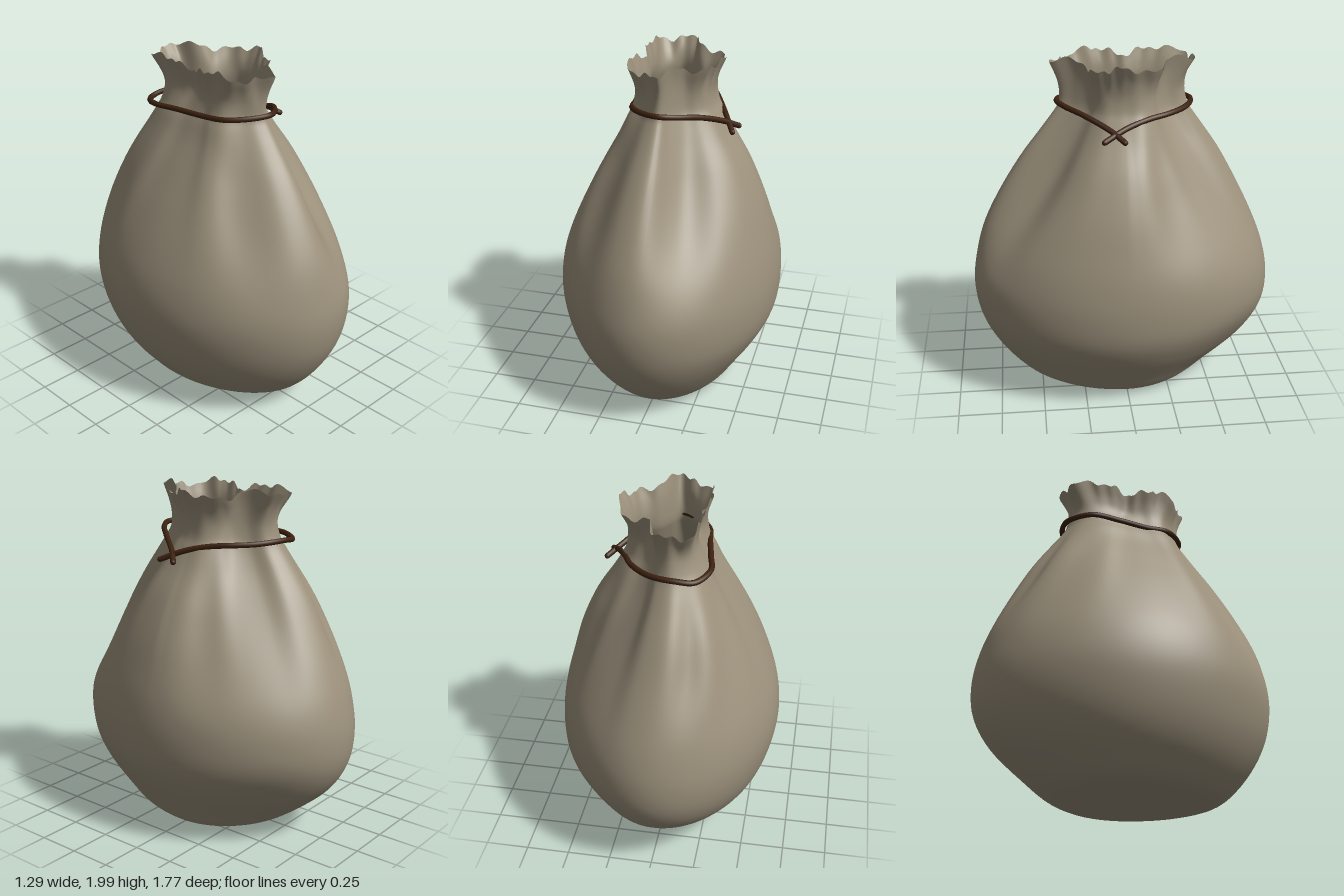
import * as THREE from 'three';

const V = (x, y, z) => new THREE.Vector3(x, y, z);
const { lerp, smoothstep } = THREE.MathUtils;

// Gathered outline of the neck, one (x, z) point every 15 degrees from +x towards +z
const NECK = [
  [.27, 0], [.26, .06], [.24, .12], [.19, .17], [.12, .21], [.06, .29],
  [.01, .37], [-.05, .35], [-.10, .29], [-.16, .22], [-.175, .15], [-.17, .08],
  [-.17, .01], [-.17, -.07], [-.18, -.15], [-.175, -.24], [-.15, -.32], [-.10, -.38],
  [-.04, -.41], [.03, -.37], [.07, -.28], [.13, -.21], [.21, -.17], [.27, -.09],
];

// Reach of the cloth at each height: y, -x, +x, -z, +z
const ROWS = [
  [.03, 0, 0, 0, 0], [.02, .14, .14, .17, .2], [.02, .27, .28, .32, .38],
  [.055, .39, .37, .45, .56], [.15, .47, .445, .60, .68], [.30, .565, .55, .77, .79],
  [.46, .622, .625, .86, .86], [.64, .65, .645, .88, .885], [.82, .632, .63, .85, .862],
  [1.0, .575, .59, .785, .81], [1.2, .485, .53, .69, .71], [1.4, .375, .44, .58, .585],
  [1.56, .28, .335, .47, .465], [1.66, .23, .275, .40, .39], [1.72, .20, .245, .375, .355],
  [1.80, .185, .235, .365, .35], [1.88, .195, .25, .385, .36], [1.96, .22, .285, .43, .385],
];

// Folds pressed into the cloth: angle, width, depth, then heights where they start, fill, fade and end
const FOLDS = [
  [1.15, .25, .10, .65, 1.3, 1.35, 1.72], [2.28, .25, .10, .7, 1.3, 1.4, 1.72],
  [3.93, .25, .05, .75, 1.3, 1.4, 1.72], [4.45, .15, .06, .9, 1.3, 1.4, 1.72],
  [5.88, .25, .11, .75, 1.3, 1.4, 1.72],
  [5.4, .45, .04, .03, .15, .3, .6], // slanted lower back
  [3.5, .55, .15, 1.7, 1.85, 2.1, 2.2], // rim leaning inwards
];

function foldScale(a, y) {
  let s = 1;
  for (const [at, width, depth, y0, y1, y2, y3] of FOLDS)
    s -= depth * Math.exp(-(((a - at) / width) ** 2)) * smoothstep(y, y0, y1) * (1 - smoothstep(y, y2, y3));
  return s;
}

function buildSack() {
  const around = 144, up = 85;
  const neck = new THREE.CatmullRomCurve3(NECK.map(([x, z]) =>
    V(x / (x > 0 ? .27 : .18), 0, z / (z > 0 ? .37 : .41))), true, 'catmullrom');
  const spline = (a, b) => new THREE.CatmullRomCurve3(ROWS.map(r => V(r[a], r[0], r[b])), false, 'catmullrom');
  const xReach = spline(1, 2), zReach = spline(3, 4);
  const pos = [], index = [];

  for (let j = 0; j <= up; j++) {
    const ex = xReach.getPoint(j / up), ez = zReach.getPoint(j / up);
    const gather = smoothstep(ex.y, .7, 1.72);
    const flare = smoothstep(ex.y, 1.76, 1.96);
    const low = 1 - smoothstep(ex.y, .03, .25);
    for (let i = 0; i < around; i++) {
      const a = i / around * Math.PI * 2;
      const n = neck.getPoint(i / around);
      // Fullness, folds and the wavy rim
      const s = foldScale(a, ex.y) - .02 * (1 - gather) * Math.sin(2 * a) ** 2
        + flare * (.05 * Math.sin(a * 9 + .6) + .015 * Math.sin(a * 16 + 2));
      const ux = s * lerp(Math.cos(a), n.x, gather);
      const uz = s * lerp(Math.sin(a), n.z, gather);
      const x = ux * (ux > 0 ? ex.z : ex.x), z = uz * (uz > 0 ? ez.z : ez.x);
      const ragged = .018 * Math.sin(a * 5 + 1) + .012 * Math.sin(a * 11) + .009 * Math.sin(a * 23 + 2);
      // Base tilts: lowest a little to the left of the middle
      pos.push(x, ex.y + flare * ragged - low * .05 * x, z);
    }
  }
  for (let j = 0; j < up; j++) for (let i = 0; i < around; i++) {
    const k = (i + 1) % around;
    const a = j * around + i, b = j * around + k, c = a + around, d = b + around;
    if (j > 0) index.push(a, c, b);
    index.push(b, c, d);
  }
  const g = new THREE.BufferGeometry();
  g.setAttribute('position', new THREE.Float32BufferAttribute(pos, 3));
  g.setIndex(index);
  g.computeVertexNormals();
  return g;
}

export function createModel() {
  const model = new THREE.Group();
  const cloth = new THREE.MeshStandardMaterial({ color: 0x9c917c, side: THREE.DoubleSide });
  const leather = new THREE.MeshStandardMaterial({ color: 0x3d2210 });

  const add = (name, geometry, material, parent = model) => {
    const mesh = new THREE.Mesh(geometry, material);
    mesh.name = name;
    parent.add(mesh);
    return mesh;
  };

  add('sack', buildSack(), cloth);

  // Cord wrapped once round the neck, its two ends crossing on the left side
  const tie = new THREE.Group();
  tie.name = 'tie';
  model.add(tie);
  const path = [
    V(.38, 1.595, .02), V(.31, 1.64, .09), V(.2, 1.70, .23), V(.1, 1.725, .33),
    V(.01, 1.735, .37), V(-.09, 1.73, .325), V(-.18, 1.72, .22), V(-.2, 1.71, .09),
    V(-.23, 1.71, -.1), V(-.25, 1.705, -.27), V(-.18, 1.69, -.385), V(-.08, 1.70, -.405),
    V(.02, 1.70, -.385), V(.1, 1.695, -.335), V(.19, 1.69, -.235), V(.24, 1.68, -.13),
    V(.30, 1.65, 0), V(.365, 1.595, .13),
  ];
  add('cord', new THREE.TubeGeometry(new THREE.CatmullRomCurve3(path), 140, .016, 8), leather, tie);
  for (const end of [path[0], path[path.length - 1]])
    add('cordEnd', new THREE.SphereGeometry(.016, 8, 6), leather, tie).position.copy(end);

  return model;
}
